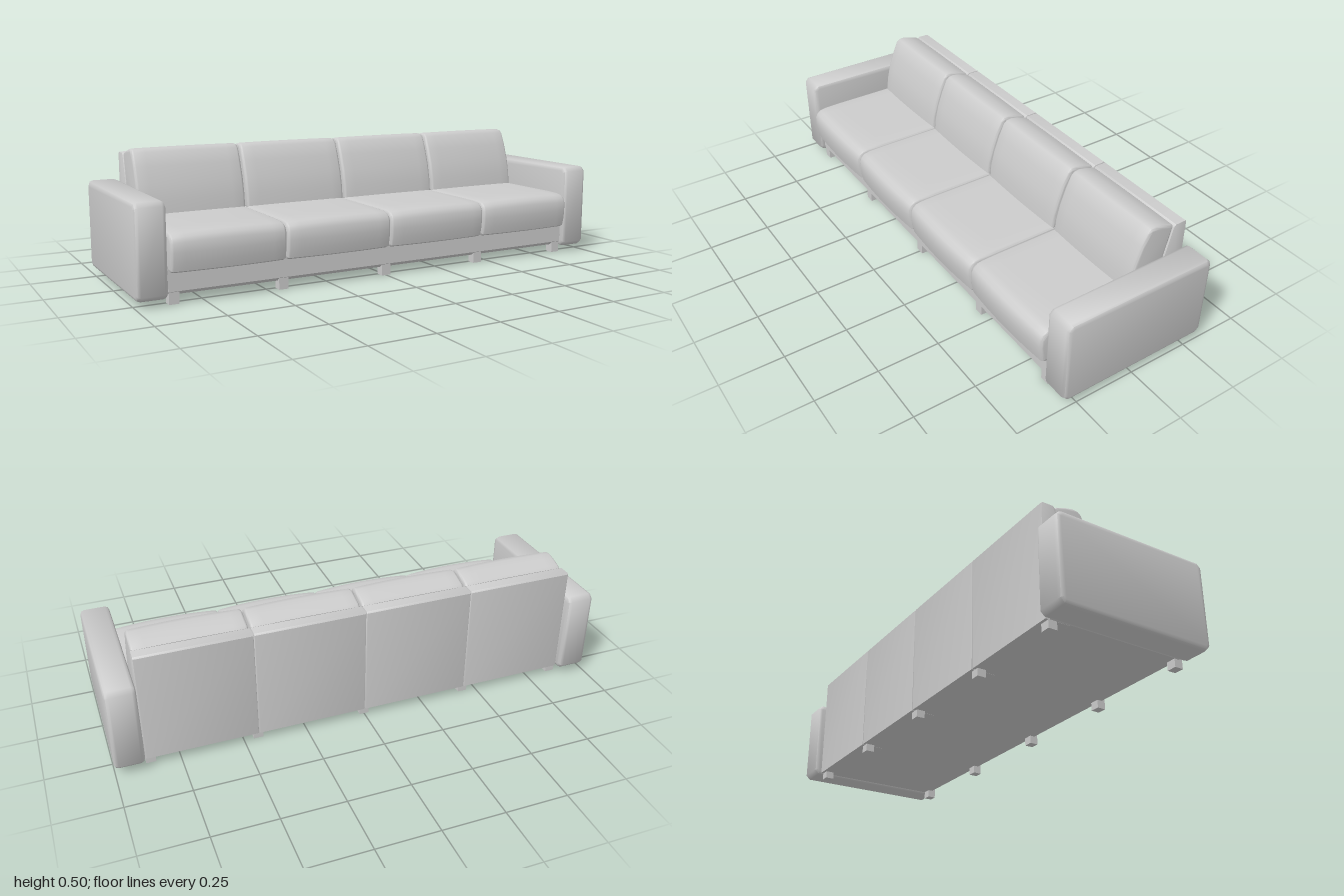
import * as THREE from 'three';
import { toCreasedNormals } from 'three/addons/utils/BufferGeometryUtils.js';

const material = new THREE.MeshStandardMaterial({ color: 0xcccccc });

// Extrude a side profile of [z, y] points along x, centred, with rounded edges.
// bulge(point, t) moves vertices; t is 1 at mid-width and 0 at both ends.
function profileGeometry(points, width, bevel, segments, bulge, crease = 0.6) {
  const shape = new THREE.Shape(points.map(([z, y]) => new THREE.Vector2(z, y)));
  const depth = width - 2 * bevel;
  const geometry = new THREE.ExtrudeGeometry(shape, {
    depth, steps: bulge ? 10 : 1, bevelEnabled: true, bevelSize: bevel,
    bevelThickness: bevel, bevelOffset: -bevel, bevelSegments: segments,
  });
  geometry.translate(0, 0, -depth / 2).rotateY(-Math.PI / 2);
  if (bulge) {
    const position = geometry.attributes.position;
    const p = new THREE.Vector3();
    for (let i = 0; i < position.count; i++) {
      p.fromBufferAttribute(position, i);
      bulge(p, 1 - (2 * p.x / width) ** 2);
      position.setXYZ(i, p.x, p.y, p.z);
    }
  }
  return toCreasedNormals(geometry, crease);
}

export function createModel() {
  const sofa = new THREE.Group();
  sofa.name = 'sofa';
  const add = (name, geometry, x = 0, y = 0, z = 0) => {
    const mesh = new THREE.Mesh(geometry, material);
    mesh.name = name;
    mesh.position.set(x, y, z);
    sofa.add(mesh);
  };

  // Armrests: upright slabs with softened edges
  const c = 0.018;
  const arm = profileGeometry([
    [-0.33 + c, 0.025], [0.305 - c, 0.025], [0.305, 0.025 + c], [0.305, 0.37 - c],
    [0.305 - c, 0.37], [-0.33 + c, 0.37], [-0.33, 0.37 - c], [-0.33, 0.025 + c],
  ], 0.115, 0.016, 2, null, 0.9);
  add('leftArm', arm, 0.9425);
  add('rightArm', arm, -0.9425);

  // Base frame with a chamfered lower front edge
  add('baseFrame', profileGeometry([
    [-0.285, 0.032], [0.268, 0.032], [0.285, 0.046], [0.285, 0.125], [-0.285, 0.125],
  ], 1.77, 0.002, 1));

  // Seat cushion: crowned front and top
  const seat = profileGeometry([
    [-0.2, 0.118], [0.298, 0.116], [0.31, 0.122], [0.317, 0.155], [0.32, 0.19],
    [0.319, 0.222], [0.31, 0.24], [0.295, 0.252], [0.27, 0.257], [0.2, 0.259], [-0.2, 0.259],
  ], 0.438, 0.011, 3, (p, t) => {
    if (p.z > 0.2) p.z += 0.011 * t * (p.z - 0.2) / 0.12;
    if (p.y > 0.2) p.y += 0.007 * t * Math.max(0, p.z + 0.2) / 0.5;
  });

  // Back cushion: leaning pad with a rounded top
  const backCushion = profileGeometry([
    [-0.19, 0.25], [-0.06, 0.25], [-0.066, 0.31], [-0.08, 0.372], [-0.103, 0.438],
    [-0.126, 0.488], [-0.14, 0.5], [-0.162, 0.503], [-0.19, 0.497], [-0.233, 0.483],
    [-0.243, 0.474], [-0.233, 0.43],
  ], 0.434, 0.011, 3, (p, t) => {
    if (p.z > -0.06 - (p.y - 0.25) * 0.36 - 0.03) p.z += 0.007 * t;
    if (p.y > 0.45) p.y += 0.002 * t;
  });

  // Back panel: flat at the rear, sloping at the front
  const backPanel = profileGeometry([
    [-0.301, 0.03], [-0.2, 0.03], [-0.19, 0.24], [-0.242, 0.47],
    [-0.251, 0.479], [-0.295, 0.479], [-0.301, 0.473],
  ], 0.439, 0.004, 2);

  for (let i = 0; i < 4; i++) {
    const x = (i - 1.5) * 0.441;
    add('seatCushion' + (i + 1), seat, x);
    add('backCushion' + (i + 1), backCushion, x);
    add('backPanel' + (i + 1), backPanel, x);
  }

  // Short square legs, five along the front and five along the back
  const leg = new THREE.BoxGeometry(0.038, 0.048, 0.035);
  for (const x of [-0.862, -0.442, 0, 0.442, 0.862]) {
    add('frontLeg', leg, x, 0.024, 0.265);
    add('backLeg', leg, x, 0.024, -0.272);
  }
  return sofa;
}
